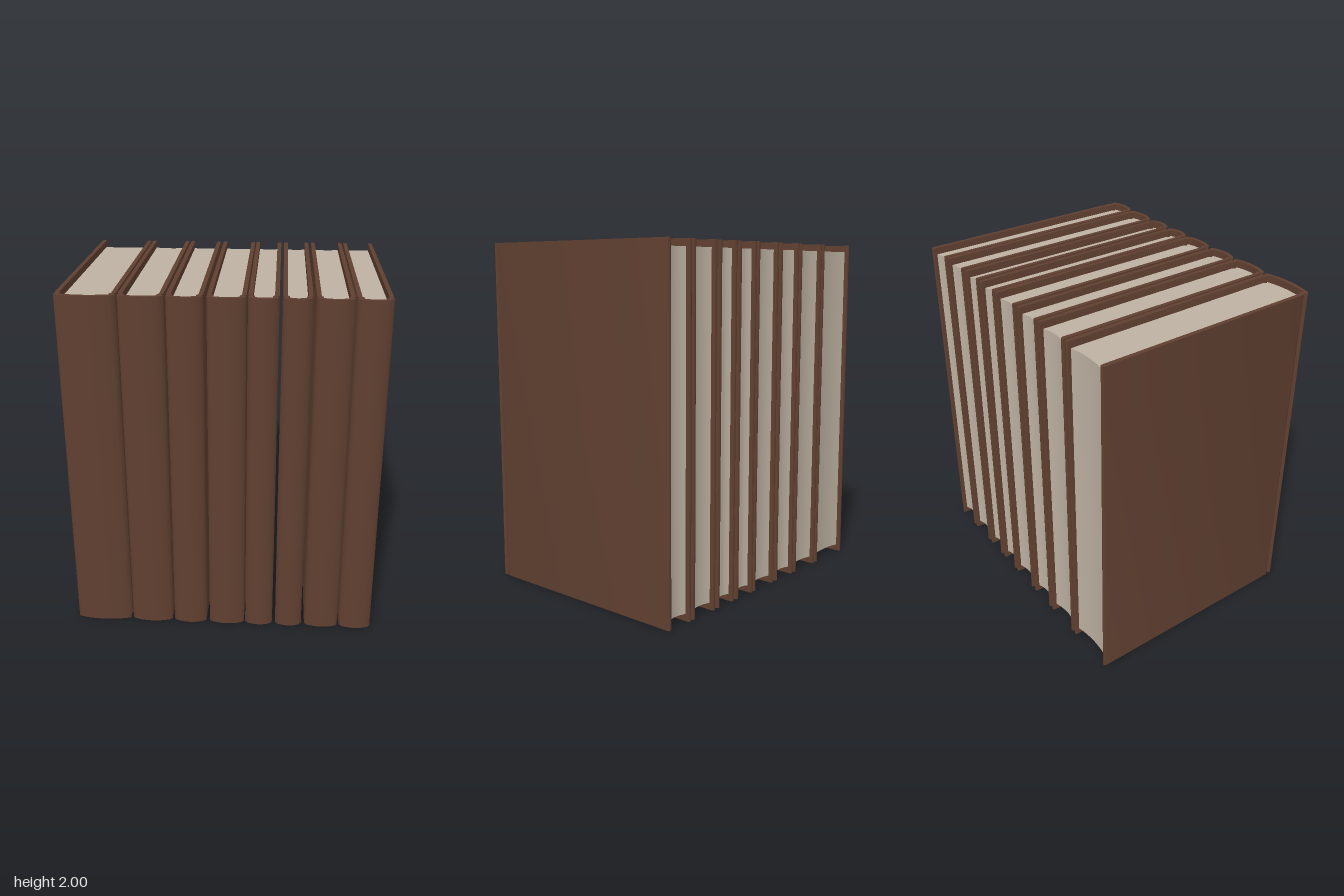
import * as THREE from 'three';
import { toCreasedNormals } from 'three/addons/utils/BufferGeometryUtils.js';

const leather = new THREE.MeshStandardMaterial({ color: 0x5f3f30 });
leather.name = 'brown leather';
const paper = new THREE.MeshStandardMaterial({ color: 0xbdb1a1 });
paper.name = 'aged paper';

// Left and right edge of each book along the row
const books = [
  [-0.874, -0.554], [-0.543, -0.305], [-0.292, -0.1], [-0.081, 0.124],
  [0.132, 0.293], [0.311, 0.466], [0.484, 0.68], [0.69, 0.874],
];
const BOARD = 0.024; // cover thickness
const INSET = 0.04; // pages sit inside the cover at top and bottom

// Extrudes an x-z outline, given as its right half, upwards from y0 to y1
function upright(half, y0, y1) {
  const mirrored = half.filter(([x]) => x > 0).reverse().map(([x, z]) => [-x, z]);
  const shape = new THREE.Shape([...half, ...mirrored].map(([x, z]) => new THREE.Vector2(x, z)));
  const geo = new THREE.ExtrudeGeometry(shape, { depth: y1 - y0, bevelEnabled: false });
  geo.rotateX(Math.PI / 2).translate(0, y1, 0);
  return toCreasedNormals(geo, 0.7);
}

// Rounded spine, hinge groove and two boards in one U-shaped outline
function coverGeometry(h) {
  const i = h - BOARD;
  return upright([
    [0, 0.683], [h * 0.3, 0.681], [h * 0.6, 0.675], [h * 0.85, 0.666],
    [h - 0.006, 0.659], [h, 0.65], [h - 0.003, 0.641],
    [h - 0.012, 0.635], [h - 0.012, 0.629], [h - 0.003, 0.622], [h, 0.611],
    [h, -0.674], [h - 0.004, -0.682], [h - 0.012, -0.685], [h - 0.02, -0.682], [i, -0.674],
    [i, 0.613], [i - 0.01, 0.626], [i - 0.01, 0.636], [i, 0.645],
    [i * 0.75, 0.652], [i * 0.4, 0.659], [0, 0.662],
  ], 0, 2);
}

// Page block with a hollow fore-edge and a rounded back
function pagesGeometry(h) {
  const w = h - BOARD + 0.003;
  const half = [];
  for (let k = 0; k <= 6; k++) {
    const u = k / 6;
    half.push([w * u, 0.665 - 0.022 * u * u]);
  }
  for (let k = 6; k >= 0; k--) {
    const u = k / 6;
    half.push([w * u, -0.646 - 0.016 * u * u]);
  }
  return upright(half, INSET, 2 - INSET);
}

export function createModel() {
  const row = new THREE.Group();
  row.name = 'rowOfBooks';
  books.forEach(([left, right], n) => {
    const h = (right - left) / 2;
    const book = new THREE.Group();
    book.name = `book${n + 1}`;
    book.position.x = (left + right) / 2;
    const cover = new THREE.Mesh(coverGeometry(h), leather);
    cover.name = 'cover';
    const pages = new THREE.Mesh(pagesGeometry(h), paper);
    pages.name = 'pages';
    book.add(cover, pages);
    row.add(book);
  });
  return row;
}
